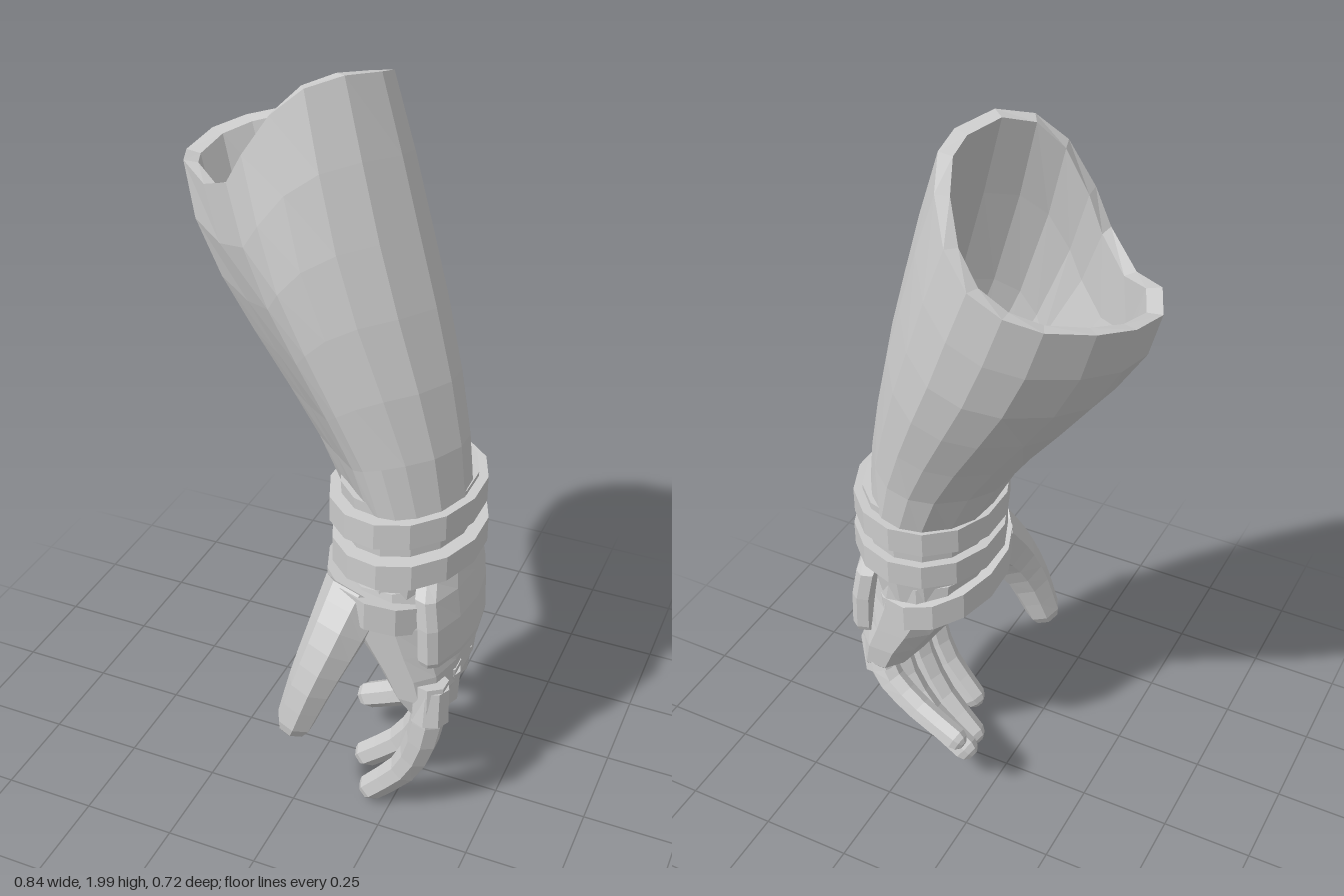
import * as THREE from 'three';

const V = (x, y, z) => new THREE.Vector3(x, y, z);
const average = (pts) => pts.reduce((s, p) => s.add(p), V(0, 0, 0)).divideScalar(pts.length);

// Skin a list of rings (each an array of points) and close both ends with fans.
function loft(name, rings) {
  const pos = [];
  const tri = (a, b, c) => { for (const p of [a, b, c]) pos.push(p.x, p.y, p.z); };
  const n = rings[0].length, first = rings[0], last = rings[rings.length - 1];
  const c0 = average(first), c1 = average(last);
  for (let j = 0; j < n; j++) {
    const k = (j + 1) % n;
    for (let i = 0; i < rings.length - 1; i++) {
      const a = rings[i], b = rings[i + 1];
      tri(a[j], b[j], b[k]);
      tri(a[j], b[k], a[k]);
    }
    tri(c0, first[j], first[k]);
    tri(c1, last[k], last[j]);
  }
  const geo = new THREE.BufferGeometry();
  geo.setAttribute('position', new THREE.Float32BufferAttribute(pos, 3));
  geo.computeVertexNormals();
  const mesh = new THREE.Mesh(geo, new THREE.MeshStandardMaterial({ color: 0xcccccc, flatShading: true }));
  mesh.name = name;
  return mesh;
}

// Horizontal (super)ellipse ring from its extents; slopes tilt it along x and z.
function ring(y, x0, x1, z0, z1, { n = 14, slopeX = 0, slopeZ = 0, power = 1 } = {}) {
  const f = (v) => Math.sign(v) * Math.abs(v) ** power;
  return Array.from({ length: n }, (_, i) => {
    const a = (i + 0.5) / n * Math.PI * 2;
    const dx = f(Math.cos(a)) * (x1 - x0) / 2, dz = f(Math.sin(a)) * (z1 - z0) / 2;
    return V((x0 + x1) / 2 + dx, y + dx * slopeX + dz * slopeZ, (z0 + z1) / 2 + dz);
  });
}

// Forearm outline by height: y, xMin, xMax, zMin, zMax
const FOREARM = [
  [0.95, 0.045, 0.39, -0.205, 0.21], [1.1, -0.035, 0.375, -0.225, 0.217],
  [1.2, -0.11, 0.355, -0.25, 0.225], [1.3, -0.19, 0.333, -0.28, 0.232],
  [1.45, -0.305, 0.292, -0.32, 0.237], [1.57, -0.38, 0.255, -0.343, 0.235],
  [1.8, -0.45, 0.185, -0.362, 0.21], [2.0, -0.5, 0.12, -0.37, 0.18],
];
function extents(y) {
  let i = 0;
  while (i < FOREARM.length - 2 && y > FOREARM[i + 1][0]) i++;
  const a = FOREARM[i], b = FOREARM[i + 1], t = (y - a[0]) / (b[0] - a[0]);
  return a.map((v, k) => v + (b[k] - v) * t);
}

// Slanted opening at the elbow: x, y, z
const RIM = [
  [-0.42, 1.70, -0.09], [-0.405, 1.72, -0.2], [-0.35, 1.735, -0.28], [-0.26, 1.75, -0.345],
  [-0.175, 1.77, -0.365], [-0.085, 1.80, -0.35], [0, 1.85, -0.29], [0.07, 1.92, -0.2],
  [0.115, 1.965, -0.1], [0.117, 1.985, -0.02], [0.07, 2.0, 0.08], [0, 1.98, 0.14],
  [-0.07, 1.92, 0.17], [-0.14, 1.82, 0.17], [-0.19, 1.74, 0.15], [-0.29, 1.69, 0.07],
  [-0.38, 1.71, 0],
];

function sleeve() {
  // The rim's outline fitted into the forearm's extents at height y
  const fit = ([x, , z], y) => {
    const [, x0, x1, z0, z1] = extents(y);
    return V((x0 + x1) / 2 + (x + 0.152) / 0.27 * (x1 - x0) / 2, y,
      (z0 + z1) / 2 + (z + 0.097) / 0.267 * (z1 - z0) / 2);
  };
  // t runs from wrist (0) to rim (1), where the ring meets the rim exactly
  const outer = (t) => RIM.map((p) => {
    const delta = V(...p).sub(fit(p, p[1]));
    return fit(p, 0.95 + (p[1] - 0.95) * t).addScaledVector(delta, t ** 4);
  });
  const inner = (t) => {
    const pts = outer(t), c = average(pts);
    return pts.map((p) => V(c.x + (p.x - c.x) * 0.86, p.y - 0.005, c.z + (p.z - c.z) * 0.86));
  };
  const up = [0, 0.17, 0.33, 0.5, 0.66, 0.83, 1];
  return loft('sleeve', [...up.map(outer), ...[1, 0.8, 0.55, 0.3, 0].map(inner)]);
}

// Tapered finger along a smooth path with a rounded tip.
function finger(name, points, r0, r1, sides = 7) {
  const curve = new THREE.CatmullRomCurve3(points.map((p) => V(...p)));
  const steps = 7, rings = [];
  const section = (c, d, r) => {
    const v = V(0, 0, 1).addScaledVector(d, -d.z).normalize();
    const u = d.clone().cross(v);
    return Array.from({ length: sides }, (_, i) => {
      const a = i / sides * Math.PI * 2;
      return c.clone().addScaledVector(u, Math.cos(a) * r).addScaledVector(v, Math.sin(a) * r);
    });
  };
  for (let i = 0; i <= steps; i++) {
    const t = i / steps;
    rings.push(section(curve.getPoint(t), curve.getTangent(t), r0 + (r1 - r0) * t));
  }
  const end = curve.getPoint(1), d = curve.getTangent(1);
  rings.push(section(end.clone().addScaledVector(d, r1 * 0.5), d, r1 * 0.78));
  rings.push(section(end.clone().addScaledVector(d, r1 * 0.8), d, r1 * 0.4));
  return loft(name, rings);
}

// Closed band of height h, tilted along x and z.
function band(name, y, h, x0, x1, z0, z1, slopeX, slopeZ = 0) {
  return loft(name, [y, y + h].map((level) => ring(level, x0, x1, z0, z1, { slopeX, slopeZ })));
}

export function createModel() {
  const model = new THREE.Group();
  model.name = 'gauntletArm';
  model.add(sleeve());

  // Wrist and its two bands
  model.add(loft('wrist', [
    ring(0.70, 0.07, 0.37, -0.185, 0.205), ring(0.80, 0.065, 0.385, -0.195, 0.205),
    ring(1.0, 0.05, 0.39, -0.2, 0.21),
  ]));
  model.add(band('upperWristBand', 0.905, 0.07, 0.025, 0.415, -0.225, 0.245, 0.08));
  model.add(band('lowerWristBand', 0.79, 0.07, 0.035, 0.423, -0.22, 0.25, 0.08));

  // Palm, flattened towards the knuckles
  const palm = { n: 12, power: 0.8 };
  model.add(loft('palm', [
    ring(0.375, 0.29, 0.375, -0.15, 0.2, palm),
    ring(0.43, 0.225, 0.395, -0.19, 0.215, palm),
    ring(0.50, 0.18, 0.395, -0.195, 0.22, palm),
    ring(0.57, 0.13, 0.38, -0.192, 0.225, palm),
    ring(0.65, 0.075, 0.37, -0.187, 0.23, palm),
    ring(0.75, 0.06, 0.37, -0.185, 0.21, { n: 12 }),
  ]));
  model.add(band('handStrap', 0.64, 0.08, 0.03, 0.375, -0.2, 0.255, -0.17, 0.1));

  // Curved guard on the back of the hand, narrower at the top
  const guardRing = (y, dx, inset) => {
    const s = [-1, -0.92, -0.5, 0, 0.5, 0.92, 1];
    const outer = s.map((k) => V(0.405 + dx - 0.05 * k * k - (Math.abs(k) === 1 ? 0.015 : 0),
      y, 0.007 + (0.198 - inset) * k));
    const inner = [1, -1].map((k) => V(0.31 + dx, y, 0.007 + (0.188 - inset) * k));
    return [...outer, ...inner];
  };
  model.add(loft('handGuard', [
    guardRing(0.545, 0.015, 0.006), guardRing(0.56, 0.016, 0), guardRing(0.66, 0.012, 0),
    guardRing(0.74, 0, 0.01), guardRing(0.78, -0.008, 0.04),
  ]));

  // Thumb
  model.add(finger('thumb', [
    [0.15, 0.71, 0.165], [0.12, 0.61, 0.235], [0.08, 0.49, 0.285], [0.038, 0.355, 0.31],
  ], 0.09, 0.051));

  // Fingers with raised knuckle cuffs
  const fingers = {
    index: [[0.35, 0.48, 0.165], [0.35, 0.34, 0.178], [0.30, 0.18, 0.17], [0.195, 0.05, 0.162]],
    middle: [[0.35, 0.48, 0.07], [0.33, 0.32, 0.06], [0.25, 0.16, 0.047], [0.13, 0.04, 0.036]],
    ring: [[0.345, 0.48, -0.03], [0.315, 0.34, -0.06], [0.22, 0.215, -0.082], [0.08, 0.13, -0.1]],
    little: [[0.335, 0.49, -0.125], [0.30, 0.39, -0.152], [0.20, 0.32, -0.172], [0.06, 0.262, -0.19]],
  };
  for (const [name, path] of Object.entries(fingers)) {
    const small = name === 'little' ? 0.88 : 1;
    model.add(finger(name + 'Finger', path, 0.05 * small, 0.038 * small));
    const a = V(...path[0]), b = V(...path[1]);
    const cuff = new THREE.Mesh(
      new THREE.CylinderGeometry(0.047 * small, 0.052 * small, 0.1, 8),
      new THREE.MeshStandardMaterial({ color: 0xcccccc, flatShading: true }));
    cuff.name = name + 'KnuckleCuff';
    cuff.position.copy(a).lerp(b, 0.45).add(V(0.007, 0, 0));
    cuff.quaternion.setFromUnitVectors(V(0, 1, 0), a.clone().sub(b).normalize());
    model.add(cuff);
  }
  return model;
}
